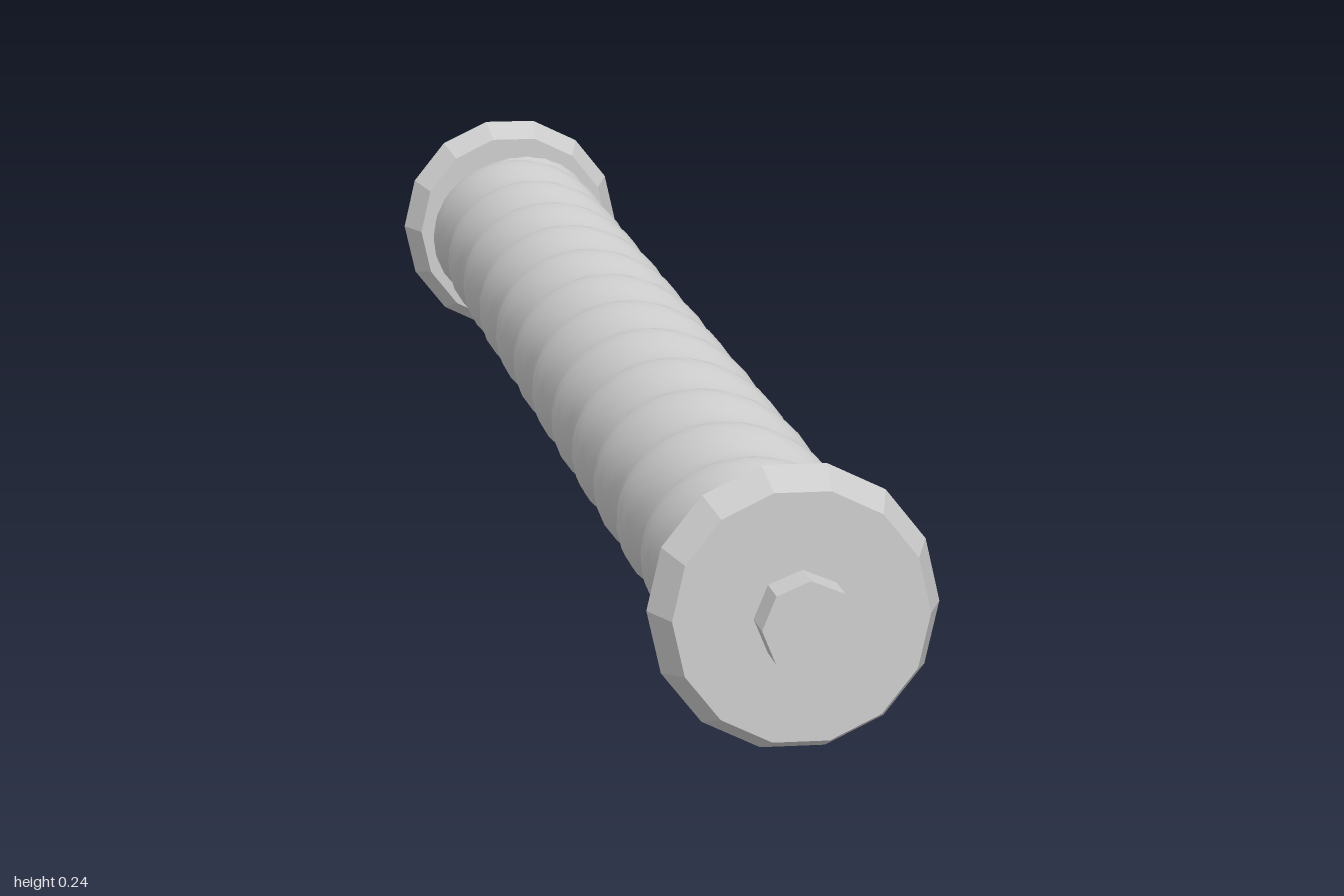
import * as THREE from 'three';
import { mergeVertices } from 'three/addons/utils/BufferGeometryUtils.js';

const AXIS_HEIGHT = 0.119;

// Rod with a two-lobed cross-section that twists along z
function twistedRod(length, major, minor, pitch) {
  let geo = new THREE.CylinderGeometry(1, 1, length, 28, 120, true);
  geo.rotateX(Math.PI / 2);
  geo.deleteAttribute('uv');
  geo.deleteAttribute('normal');
  geo = mergeVertices(geo, 1e-4);
  const p = geo.attributes.position;
  for (let i = 0; i < p.count; i++) {
    const z = p.getZ(i);
    const turn = -2 * Math.PI * z / pitch;
    const a = Math.atan2(p.getY(i), p.getX(i));
    const x = major * Math.cos(a), y = minor * Math.sin(a);
    p.setXY(i, x * Math.cos(turn) - y * Math.sin(turn), x * Math.sin(turn) + y * Math.cos(turn));
  }
  geo.computeVertexNormals();
  return geo;
}

export function createModel() {
  const steel = new THREE.MeshStandardMaterial({ color: 0xcccccc });
  steel.name = 'light grey';
  steel.flatShading = false;

  const model = new THREE.Group();
  model.name = 'twistedBar';
  const add = (geo, name, z = 0) => {
    const mesh = new THREE.Mesh(geo, steel);
    mesh.name = name;
    mesh.position.set(0, AXIS_HEIGHT, z);
    model.add(mesh);
  };

  add(twistedRod(1.8, 0.095, 0.081, 0.286), 'twistedRod');

  // Bevelled end collar, 14 sides, faceted
  const profile = [[0, -0.04], [0.107, -0.04], [0.122, 0], [0.107, 0.04], [0, 0.04]];
  const faceted = (geo) => {
    const flat = geo.toNonIndexed();
    flat.computeVertexNormals();
    return flat.rotateX(Math.PI / 2);
  };
  const collar = faceted(new THREE.LatheGeometry(
    profile.map(([r, y]) => new THREE.Vector2(r, y)), 14, Math.PI / 2));

  // Octagonal pin beyond each collar
  const pin = faceted(new THREE.CylinderGeometry(0.04, 0.04, 0.05, 8));

  for (const [side, end] of [[1, 'front'], [-1, 'back']]) {
    add(collar, end + 'Collar', side * 0.92);
    add(pin, end + 'Pin', side * 0.975);
  }
  return model;
}
